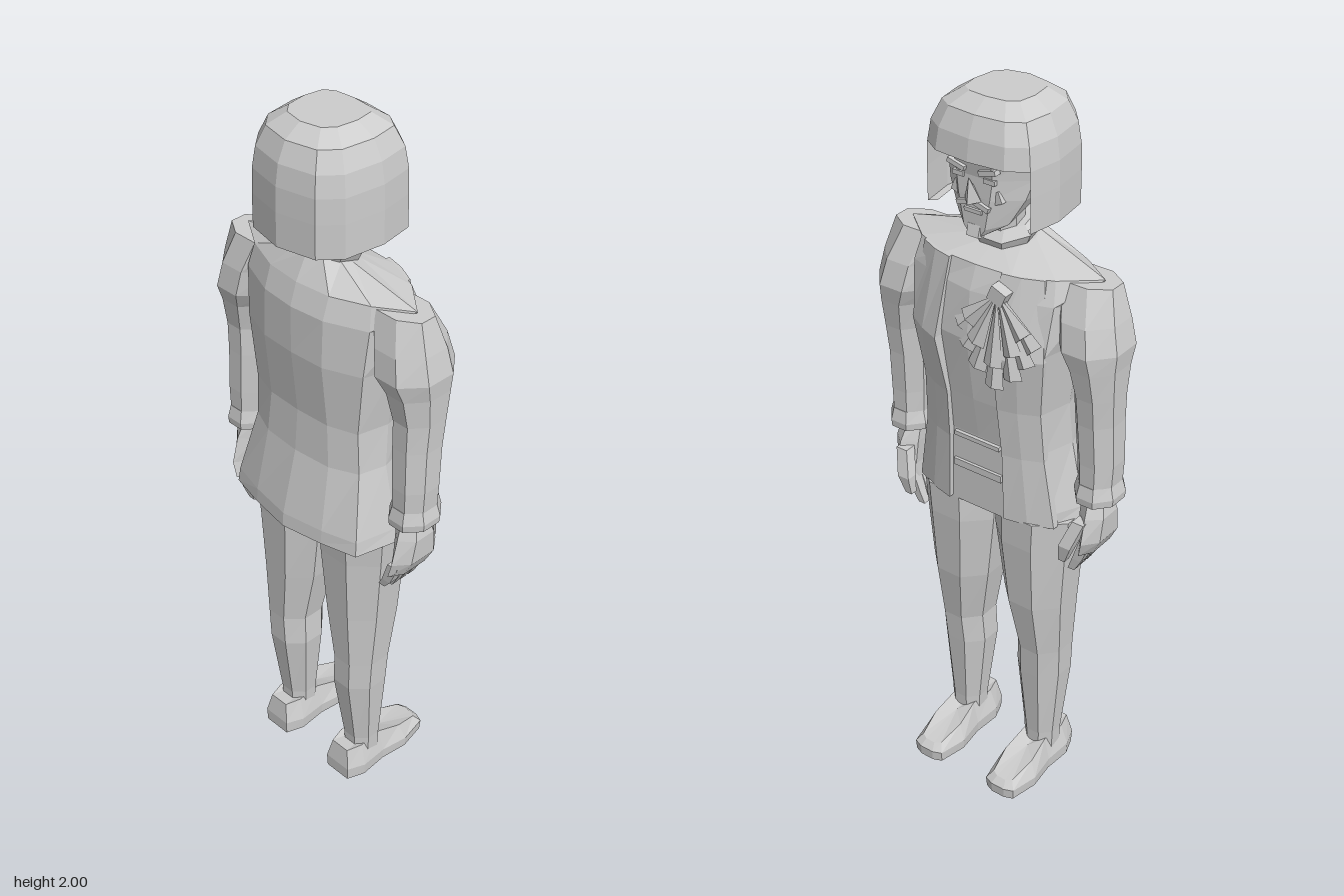
import * as THREE from 'three';

const stone = new THREE.MeshStandardMaterial({ color: 0xcccccc, flatShading: true, side: THREE.DoubleSide });
stone.name = 'plain grey';

// Horizontal ring of n points; tilt raises y with z
function ring(y, cx, cz, rx, rz, n = 8, tilt = 0) {
  return Array.from({ length: n }, (_, i) => {
    const a = ((i + 0.5) / n) * Math.PI * 2, k = 1 / Math.cos(Math.PI / n);
    const z = Math.sin(a) * rz * k;
    return [cx + Math.cos(a) * rx * k, y + tilt * z, cz + z];
  });
}

// Symmetric ring from a half outline running back to front
function halfRing(y, half, tilt = 0) {
  const pts = half.map(([x, z]) => [x, y + tilt * z, z]);
  const other = pts.slice(1, -1).reverse().map(([x, yy, z]) => [-x, yy, z]);
  return [...pts, ...other].reverse();
}

// Skin over rings listed bottom to top
function loft(rings, { closed = true, caps = true, side = 1 } = {}) {
  const n = rings[0].length, pos = [], idx = [];
  rings.forEach(r => (side < 0 ? [...r].reverse() : r).forEach(([x, y, z]) => pos.push(x * side, y, z)));
  for (let i = 0; i < rings.length - 1; i++) {
    for (let j = 0; j < (closed ? n : n - 1); j++) {
      const a = i * n + j, b = i * n + (j + 1) % n;
      idx.push(a, a + n, b, b, a + n, b + n);
    }
  }
  if (caps) {
    [0, rings.length - 1].forEach(k => {
      const c = pos.length / 3, m = [0, 0, 0];
      for (let j = 0; j < n; j++) for (let d = 0; d < 3; d++) m[d] += pos[(k * n + j) * 3 + d] / n;
      pos.push(...m);
      for (let j = 0; j < n; j++) {
        const a = k * n + j, b = k * n + (j + 1) % n;
        if (k === 0) idx.push(c, a, b); else idx.push(c, b, a);
      }
    });
  }
  const g = new THREE.BufferGeometry();
  g.setAttribute('position', new THREE.Float32BufferAttribute(pos, 3));
  g.setIndex(idx);
  g.computeVertexNormals();
  return g;
}

export function createModel() {
  const model = new THREE.Group();
  const add = (name, geo) => {
    const m = new THREE.Mesh(geo, stone);
    m.name = name;
    model.add(m);
    return m;
  };
  const box = (name, w, h, d, x, y, z, rz = 0, rx = 0) => {
    const m = add(name, new THREE.BoxGeometry(w, h, d));
    m.position.set(x, y, z);
    m.rotation.set(rx, 0, rz);
  };

  // Jacket body: hem, waist, chest, shoulders, neckline
  add('jacket', loft([
    halfRing(0.88, [[0, 0.185], [0.12, 0.165], [0.22, 0.14], [0.25, 0.02], [0.2, -0.07], [0.1, -0.1], [0, -0.1]]),
    halfRing(0.92, [[0, 0.182], [0.12, 0.162], [0.217, 0.135], [0.243, 0.02], [0.2, -0.07], [0.1, -0.1], [0, -0.1]]),
    halfRing(1.1, [[0, 0.137], [0.11, 0.128], [0.185, 0.095], [0.205, 0.02], [0.18, -0.07], [0.09, -0.1], [0, -0.1]]),
    halfRing(1.22, [[0, 0.127], [0.1, 0.122], [0.18, 0.095], [0.2, 0.01], [0.18, -0.08], [0.09, -0.115], [0, -0.12]]),
    halfRing(1.4, [[0, 0.145], [0.1, 0.14], [0.2, 0.1], [0.225, 0.01], [0.2, -0.1], [0.1, -0.135], [0, -0.145]]),
    halfRing(1.53, [[0, 0.145], [0.1, 0.135], [0.21, 0.09], [0.26, 0.01], [0.21, -0.08], [0.1, -0.115], [0, -0.13]]),
    halfRing(1.59, [[0, 0.125], [0.1, 0.115], [0.2, 0.075], [0.29, 0.015], [0.2, -0.06], [0.1, -0.1], [0, -0.105]]),
    halfRing(1.63, [[0, 0.09], [0.045, 0.08], [0.075, 0.05], [0.085, 0.02], [0.07, -0.02], [0.04, -0.045], [0, -0.05]], 0.3),
  ]));

  // Overlapping jacket fronts with lapel edges
  const front = [[0.885, 0.085, -0.115, 0.215, -0.07], [1.08, 0.08, -0.116, 0.185, -0.075],
    [1.22, 0.075, -0.13, 0.18, -0.085], [1.385, 0.085, -0.163, 0.2, -0.105], [1.59, 0.075, -0.112, 0.18, -0.075]];
  [1, -1].forEach(side => add(side > 0 ? 'leftLapel' : 'rightLapel', loft(front.map(([y, x, z, xo, zo]) => {
    const f = side > 0 ? z : z + 0.006;
    return [[xo, y, zo + 0.02], [x, y, f + 0.035], [x, y, f], [(x + xo) / 2, y, (f + zo) / 2 - 0.006], [xo, y, zo]];
  }), { side })));
  box('waistcoatEdge', 0.15, 0.02, 0.012, 0, 1.0, -0.102);
  box('waistcoatPocket', 0.14, 0.012, 0.012, 0, 1.09, -0.104);

  // Fan of folded cloth on the chest
  for (let layer = 0; layer < 2; layer++) {
    const count = 7 - layer * 2;
    for (let i = 0; i < count; i++) {
      const t = (i / (count - 1)) * 2 - 1, a = t * 0.75, len = (0.25 - 0.09 * Math.abs(t)) * (1 - layer * 0.25);
      const g = new THREE.ConeGeometry(0.028, len, 4);
      g.scale(1, 1, 0.45);
      g.translate(0, -len / 2, 0);
      const m = add('chestRuffle', g);
      m.position.set(-0.085, 1.55, -0.125 - layer * 0.01);
      m.rotation.set(0.09, 0, a);
    }
  }
  box('ruffleKnot', 0.045, 0.04, 0.03, -0.085, 1.545, -0.125, 0.4);

  // Collar and neck
  add('collar', loft([ring(1.625, 0, 0.025, 0.07, 0.065, 8, 0.4), ring(1.665, 0, 0.025, 0.088, 0.078, 8, 0.4),
    ring(1.68, 0, 0.025, 0.065, 0.055, 8, 0.4)]));
  add('neck', loft([ring(1.6, 0, 0.01, 0.045, 0.042), ring(1.76, 0, 0.01, 0.05, 0.045)]));

  // Head with a jaw that drops toward the chin
  add('head', loft([
    ring(1.69, 0, -0.065, 0.04, 0.045, 8, 0.45), ring(1.715, 0, -0.05, 0.075, 0.06, 8, 0.4),
    ring(1.77, 0, -0.02, 0.11, 0.09), ring(1.82, 0, 0, 0.125, 0.108), ring(1.89, 0, 0, 0.13, 0.12),
  ]));
  const nose = add('nose', new THREE.ConeGeometry(0.024, 0.065, 4));
  nose.position.set(0, 1.795, -0.122);
  nose.rotation.set(-0.25, 0, 0);
  box('mouth', 0.05, 0.01, 0.012, 0, 1.735, -0.111);
  box('chinTuft', 0.035, 0.03, 0.025, 0, 1.68, -0.103, 0, 0.3);
  [1, -1].forEach(s => {
    box('eye', 0.032, 0.012, 0.01, s * 0.045, 1.818, -0.108);
    box('brow', 0.05, 0.012, 0.02, s * 0.045, 1.843, -0.112, s * 0.25);
    box('moustache', 0.045, 0.013, 0.018, s * 0.024, 1.753, -0.11, -s * 0.3);
    box('cheek', 0.03, 0.03, 0.015, s * 0.055, 1.775, -0.094, s * 0.4);
  });

  // Bobbed hair: open curtain around the face, closed crown above
  const bob = k => [[0, 0.185], [0.105, 0.162], [0.15, 0.11], [0.165, 0], [0.15, -0.095], [0.1, -0.128], [0, -0.138]]
    .map(([x, z]) => [x * k, 0.02 + (z - 0.02) * k]);
  const curtain = (y, k) => {
    const h = bob(k).slice(0, 5);
    return [...h.slice(1).reverse(), ...h.map(([x, z]) => [-x, z])].map(([x, z]) => [x, y, z]);
  };
  add('hairSides', loft([curtain(1.71, 0.88), curtain(1.71, 1), curtain(1.8, 1), curtain(1.865, 0.99)],
    { closed: false, caps: false }));
  add('hairCrown', loft([
    halfRing(1.865, bob(0.99)), halfRing(1.92, bob(0.94)), halfRing(1.97, bob(0.8)), halfRing(2, bob(0.52)),
  ]));

  [1, -1].forEach(side => {
    const p = side > 0 ? 'left' : 'right';
    const o = { side };

    // Sleeve with a wide pointed shoulder
    add(p + 'Sleeve', loft([
      ring(0.99, 0.298, 0.01, 0.048, 0.06), ring(1.1, 0.298, 0.01, 0.054, 0.062), ring(1.22, 0.295, 0.005, 0.056, 0.065),
      ring(1.3, 0.296, 0.0, 0.058, 0.07), ring(1.38, 0.29, 0, 0.068, 0.085), ring(1.43, 0.278, 0.005, 0.085, 0.1),
      ring(1.5, 0.265, 0.008, 0.083, 0.088), ring(1.585, 0.24, 0.015, 0.085, 0.055),
    ], o));
    add(p + 'Cuff', loft([ring(0.985, 0.298, 0.01, 0.057, 0.068), ring(1.005, 0.298, 0.01, 0.059, 0.07),
      ring(1.04, 0.298, 0.01, 0.05, 0.062)], o));

    // Hand with curled fingers and thumb
    add(p + 'Palm', loft([ring(0.825, 0.285, 0.015, 0.022, 0.065, 6), ring(0.87, 0.298, 0.01, 0.032, 0.07, 6),
      ring(0.94, 0.298, 0.008, 0.036, 0.055, 6), ring(0.99, 0.292, 0.01, 0.03, 0.035, 6)], o));
    for (let i = 0; i < 4; i++) {
      const z = -0.025 + i * 0.029, drop = i === 3 ? 0.012 : 0;
      add(p + 'Finger', loft([ring(0.752 + drop, 0.247, z, 0.01, 0.01, 4), ring(0.79, 0.265, z, 0.014, 0.013, 4),
        ring(0.85, 0.288, z, 0.017, 0.014, 4)], o));
    }
    add(p + 'Thumb', loft([ring(0.81, 0.25, -0.075, 0.01, 0.01, 4), ring(0.86, 0.262, -0.076, 0.018, 0.016, 4),
      ring(0.93, 0.285, -0.05, 0.017, 0.017, 4)], o));

    // Trouser leg
    add(p + 'Leg', loft([
      ring(0.06, 0.128, 0.018, 0.046, 0.045), ring(0.12, 0.128, 0.018, 0.048, 0.047), ring(0.34, 0.126, 0.025, 0.069, 0.072),
      ring(0.43, 0.13, 0.022, 0.069, 0.076), ring(0.6, 0.12, 0.012, 0.092, 0.094), ring(0.8, 0.115, 0.01, 0.112, 0.106),
      ring(0.89, 0.118, 0.012, 0.117, 0.11),
    ], o));

    // Shoe, low at the toe and high at the ankle
    const sole = [[0.04, 0.11], [0.058, 0.06], [0.052, -0.02], [0.062, -0.1], [0.045, -0.18], [0.02, -0.19]];
    const shoeRing = (k, h) => {
      const right = sole.map(([x, z]) => [0.126 + x * k, h(z), z * (0.7 + 0.3 * k)]);
      const left = sole.map(([x, z]) => [0.126 - x * k, h(z), z * (0.7 + 0.3 * k)]).reverse();
      return [...right, ...left].reverse();
    };
    add(p + 'Shoe', loft([shoeRing(1, () => 0), shoeRing(1.04, z => 0.035 + 0.04 * Math.max(z, -0.1)),
      shoeRing(0.72, z => (z > -0.02 ? 0.1 : 0.1 + (z + 0.02) * 0.3))], o));
  });

  return model;
}
